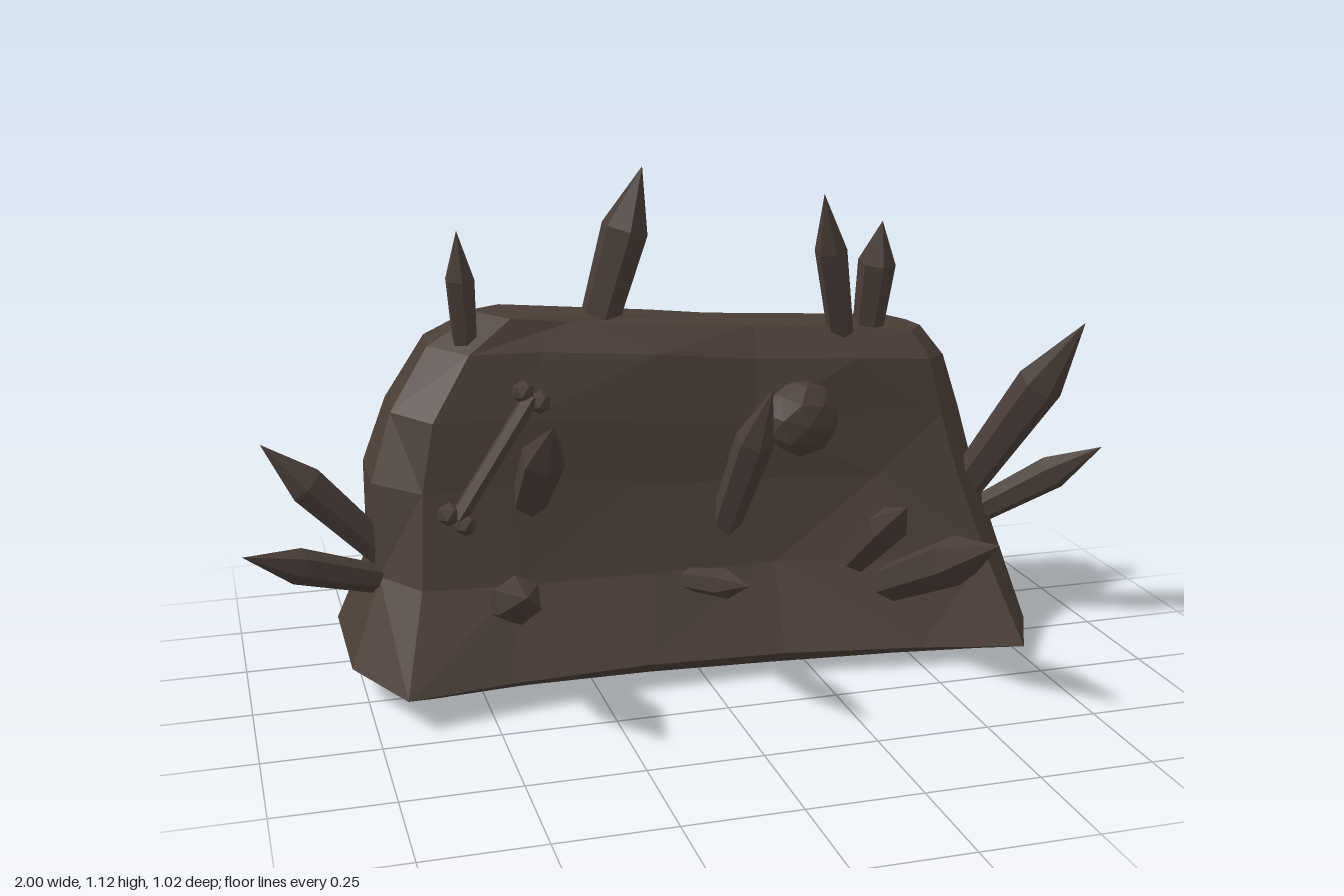
import * as THREE from 'three';

const rock = new THREE.MeshStandardMaterial({ color: 0x4a3d36, flatShading: true });
rock.name = 'brown rock';
const spikeMat = new THREE.MeshStandardMaterial({ color: 0x493d38, flatShading: true });
spikeMat.name = 'grey brown crystal';

function seeded(seed) {
  return () => { seed = (seed * 16807) % 2147483647; return seed / 2147483647 - 0.5; };
}

// Slab of rock: stacked plan rings, [y, xLeft, xRight, zFront, zBack, front flare]
function makeRock() {
  const levels = [
    [0.03, -0.70, 0.74, 0.04, -0.46, 0.05],
    [0.07, -0.78, 0.815, 0.10, -0.505, 0.09],
    [0.25, -0.71, 0.79, -0.01, -0.45, 0.04],
    [0.45, -0.70, 0.74, -0.07, -0.42, 0.02],
    [0.60, -0.66, 0.70, -0.09, -0.39, 0.0],
    [0.74, -0.56, 0.67, -0.12, -0.365, 0.0],
    [0.81, -0.45, 0.63, -0.18, -0.335, 0.0],
  ];
  const us = [0.06, 0.2, 0.4, 0.6, 0.8, 0.95];
  // plan outline, counter-clockwise seen from above: front, right, back, left
  const plan = [
    ...us.map(u => [u, 0]), [1, 0.25], [1, 0.85],
    ...us.map(u => [u, 1]).reverse(), [0, 0.8], [0, 0.3],
  ];
  const rnd = seeded(71);
  const n = plan.length, pos = [], idx = [];
  levels.forEach(([y, xl, xr, zf, zb, flare], k) => {
    for (const [u, v] of plan) {
      const x = xl + (xr - xl) * u;
      const front = zf + flare * Math.min(1, (x / 0.7) ** 2);
      const j = k < 2 ? 0.01 : 0.022;
      const drop = k < 2 ? 0.02 * (x + 0.3) : 0.08 * (x + 0.35) * y / 0.81;
      pos.push(x + rnd() * j, y - drop + rnd() * j * 0.6, front + (zb - front) * v + rnd() * j);
    }
  });
  for (let k = 0; k < levels.length - 1; k++) {
    for (let i = 0; i < n; i++) {
      const a = k * n + i, b = k * n + (i + 1) % n;
      if ((i + k) % 2) idx.push(a, b, b + n, a, b + n, a + n);
      else idx.push(a, b, a + n, b, b + n, a + n);
    }
  }
  // caps
  const last = (levels.length - 1) * n;
  pos.push(0.0, 0.02, -0.2, 0.08, 0.785, -0.26);
  for (let i = 0; i < n; i++) {
    const j = (i + 1) % n;
    idx.push(levels.length * n, j, i, levels.length * n + 1, last + i, last + j);
  }
  const g = new THREE.BufferGeometry();
  g.setAttribute('position', new THREE.Float32BufferAttribute(pos, 3));
  g.setIndex(idx);
  const flat = g.toNonIndexed();
  flat.computeVertexNormals();
  return flat;
}

function between(mesh, a, b) {
  const d = b.clone().sub(a);
  mesh.position.copy(a);
  mesh.quaternion.setFromUnitVectors(new THREE.Vector3(0, 1, 0), d.normalize());
  return mesh;
}

// Six-sided crystal, widening slightly to a shoulder and ending in a point
function crystal(name, base, tip, r) {
  const a = new THREE.Vector3(...base), b = new THREE.Vector3(...tip);
  const len = a.distanceTo(b);
  const g = new THREE.LatheGeometry([
    new THREE.Vector2(0, 0), new THREE.Vector2(r * 0.78, 0),
    new THREE.Vector2(r, len * 0.66), new THREE.Vector2(0, len),
  ], 6);
  const m = new THREE.Mesh(g, spikeMat);
  m.name = name;
  return between(m, a, b);
}

// Thin bone with two knobs at each end
function makeBone() {
  const bone = new THREE.Group();
  bone.name = 'bone';
  const a = new THREE.Vector3(-0.54, 0.41, -0.01), b = new THREE.Vector3(-0.36, 0.66, -0.06);
  const len = a.distanceTo(b);
  const shaft = new THREE.Mesh(new THREE.CylinderGeometry(0.02, 0.02, len, 6), rock);
  shaft.name = 'boneShaft';
  shaft.position.y = len / 2;
  bone.add(shaft);
  for (const y of [0, len]) for (const s of [-1, 1]) {
    const knob = new THREE.Mesh(new THREE.IcosahedronGeometry(0.027, 0), rock);
    knob.name = 'boneKnob';
    knob.position.set(s * 0.022, y, 0);
    bone.add(knob);
  }
  return between(bone, a, b);
}

export function createModel() {
  const model = new THREE.Group();
  model.name = 'spikedRock';

  const body = new THREE.Mesh(makeRock(), rock);
  body.name = 'rockBody';
  model.add(body);

  const spikes = [
    // along the top
    ['topSpike', [-0.48, 0.70, -0.19], [-0.50, 1.02, -0.15], 0.034],
    ['topSpike', [-0.18, 0.72, -0.25], [-0.06, 1.135, -0.235], 0.056],
    ['topSpike', [0.42, 0.68, -0.20], [0.33, 1.075, -0.10], 0.038],
    ['topSpike', [0.49, 0.70, -0.23], [0.505, 0.995, -0.18], 0.045],
    // at both ends
    ['rightSpike', [-0.66, 0.26, -0.21], [-0.94, 0.555, -0.215], 0.046],
    ['rightSpike', [-0.66, 0.23, -0.15], [-1.0, 0.37, 0.0], 0.04],
    ['leftSpike', [0.71, 0.32, -0.15], [0.895, 0.785, 0.10], 0.055],
    ['leftSpike', [0.72, 0.25, -0.16], [0.995, 0.465, 0.03], 0.042],
    // on the front
    ['frontSpike', [-0.44, 0.20, -0.03], [-0.47, 0.37, 0.41], 0.052],
    ['frontSpike', [-0.015, 0.21, -0.04], [-0.015, 0.36, 0.44], 0.033],
    ['frontSpike', [0.39, 0.22, -0.02], [0.385, 0.45, 0.30], 0.045],
    ['frontSpike', [0.45, 0.16, 0.0], [0.505, 0.42, 0.51], 0.055],
    ['frontSpike', [0.08, 0.30, -0.07], [0.145, 0.68, 0.10], 0.045],
    ['frontSpike', [-0.37, 0.39, -0.10], [-0.36, 0.65, 0.17], 0.05],
  ];
  for (const s of spikes) model.add(crystal(...s));

  // rounded stone set into the front
  const stone = new THREE.Mesh(new THREE.IcosahedronGeometry(0.1, 1), rock);
  stone.name = 'embeddedStone';
  stone.scale.set(1, 0.97, 0.85);
  stone.rotation.z = 0.3;
  stone.position.set(0.28, 0.55, -0.12);
  model.add(stone, makeBone());

  return model;
}
